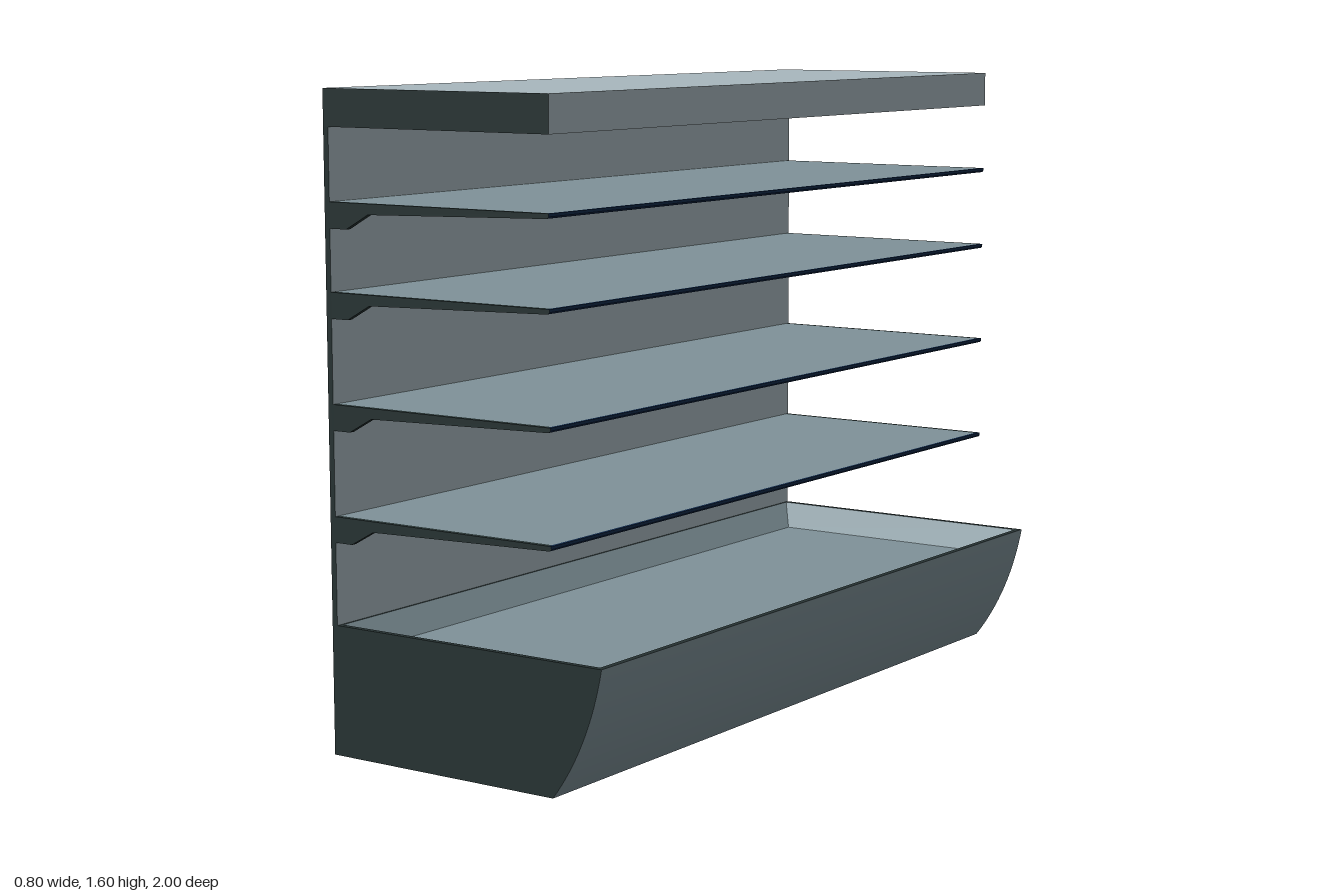
import * as THREE from 'three';

const mat = (name, color, extra = {}) => {
  const m = new THREE.MeshStandardMaterial({ color, ...extra });
  m.name = name;
  return m;
};

export function createModel() {
  const group = new THREE.Group();
  const light = mat('lightGrey', 0xa9b8be);
  const mid = mat('midGrey', 0x7f9299);
  const dark = mat('darkGreen', 0x263232);
  const navy = mat('navy', 0x10294a);

  const add = (name, geo, material, parent = group) => {
    const m = new THREE.Mesh(geo, material);
    m.name = name;
    parent.add(m);
    return m;
  };

  // box from its minimum and maximum corners
  const box = (x0, x1, y0, y1, z0, z1) =>
    new THREE.BoxGeometry(x1 - x0, y1 - y0, z1 - z0)
      .translate((x0 + x1) / 2, (y0 + y1) / 2, (z0 + z1) / 2);

  const outline = (pts) => new THREE.Shape(pts.map(([x, y]) => new THREE.Vector2(x, y)));

  const slab = (pts, z0, z1) =>
    new THREE.ExtrudeGeometry(outline(pts), { depth: z1 - z0, bevelEnabled: false }).translate(0, 0, z0);

  // flat quads, corners counter-clockwise seen from the front
  const quads = (list) => {
    const p = [];
    for (const [a, b, c, d] of list) p.push(...a, ...b, ...c, ...a, ...c, ...d);
    const g = new THREE.BufferGeometry();
    g.setAttribute('position', new THREE.Float32BufferAttribute(p, 3));
    g.computeVertexNormals();
    return g;
  };

  // back panel and canopy: light inside, dark outside
  add('backPanel', box(-0.4, -0.385, 0, 1.51, -1, 1), [light, dark, dark, dark, dark, dark]);
  add('canopy', box(-0.4, 0.263, 1.51, 1.6, -1, 1), [light, dark, light, light, dark, dark]);

  // base: dark end panels and underside, curved front
  const curve = new THREE.QuadraticBezierCurve(
    new THREE.Vector2(0.26, 0), new THREE.Vector2(0.365, 0.135), new THREE.Vector2(0.4, 0.32));
  const front = curve.getPoints(16);
  const endShape = outline([[-0.385, 0], ...front.map((p) => [p.x, p.y]), [-0.385, 0.32]]);
  add('baseEndLeft', new THREE.ShapeGeometry(endShape).translate(0, 0, 1), dark);
  const farEnd = new THREE.ShapeGeometry(endShape).translate(0, 0, -1);
  const idx = farEnd.index.array;
  for (let i = 0; i < idx.length; i += 3) [idx[i], idx[i + 1]] = [idx[i + 1], idx[i]];
  farEnd.computeVertexNormals();
  add('baseEndRight', farEnd, dark);
  add('baseUnderside', quads([[[-0.385, 0, -1], [0.26, 0, -1], [0.26, 0, 1], [-0.385, 0, 1]]]), dark);

  const pos = [], nor = [], ind = [];
  front.forEach((p, i) => {
    const t = curve.getTangent(i / 16);
    for (const z of [1, -1]) {
      pos.push(p.x, p.y, z);
      nor.push(t.y, -t.x, 0);
    }
    if (i) {
      const a = 2 * i - 2;
      ind.push(a, a + 1, a + 3, a, a + 3, a + 2);
    }
  });
  const frontGeo = new THREE.BufferGeometry();
  frontGeo.setAttribute('position', new THREE.Float32BufferAttribute(pos, 3));
  frontGeo.setAttribute('normal', new THREE.Float32BufferAttribute(nor, 3));
  frontGeo.setIndex(ind);
  add('baseFront', frontGeo, mid);

  // recessed tray: rim, sloping walls and floor
  const ring = (x0, x1, z, y) => [[x0, y, z], [x1, y, z], [x1, y, -z], [x0, y, -z]];
  const between = (o, n) => o.map((p, i) => [p, o[(i + 1) % 4], n[(i + 1) % 4], n[i]]);
  const outer = ring(-0.385, 0.4, 1, 0.32);
  const lip = ring(-0.38, 0.385, 0.985, 0.32);
  const floor = ring(-0.33, 0.335, 0.92, 0.26);
  add('baseRim', quads(between(outer, lip)), dark);
  add('trayWalls', quads(between(lip, floor)), mid);
  add('trayFloor', quads([floor]), mid);

  // shelves: tapering plate, bracket at each end, rail along the front edge
  for (const y of [0.585, 0.855, 1.122, 1.335]) {
    const shelf = new THREE.Group();
    shelf.name = 'shelf';
    shelf.position.y = y;
    group.add(shelf);
    add('shelfPlate', slab([[-0.385, -0.024], [0.252, -0.012], [0.252, 0], [-0.385, 0]], -0.985, 0.985), mid, shelf);
    const bracket = [[-0.385, -0.063], [-0.335, -0.063], [-0.268, -0.026],
      [0.252, -0.012], [0.252, 0], [-0.385, 0]];
    for (const z of [-1, 0.985]) add('shelfBracket', slab(bracket, z, z + 0.015), [dark, dark], shelf);
    add('shelfRail', slab([[0.252, -0.012], [0.258, -0.011], [0.261, -0.007], [0.261, 0], [0.252, 0]], -1, 1), [dark, navy], shelf);
  }

  return group;
}
